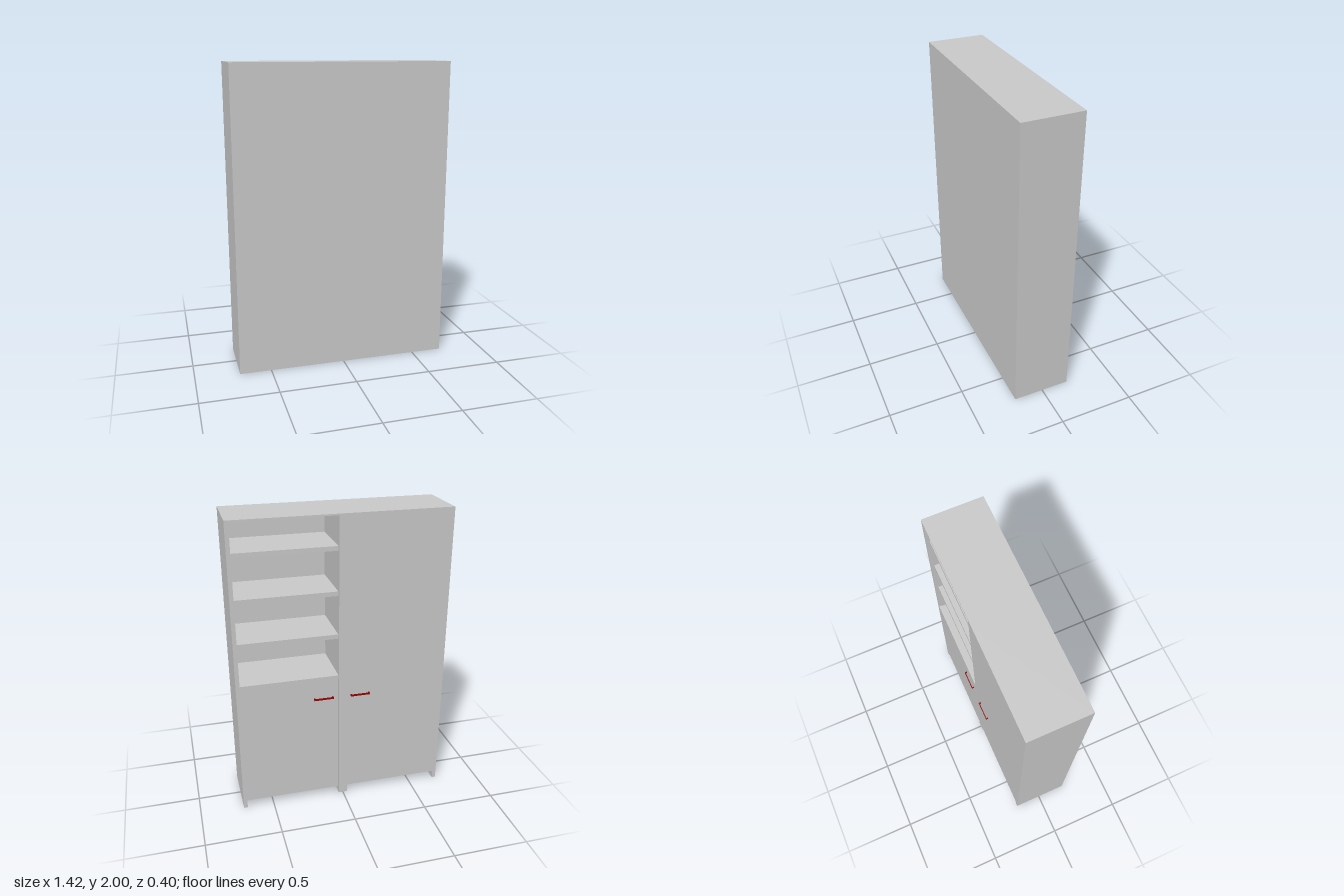
import * as THREE from 'three';

const grey = new THREE.MeshStandardMaterial({ color: 0xcccccc, flatShading: true });
const red = new THREE.MeshStandardMaterial({ color: 0x990000, flatShading: true });

// Box given by its extents on each axis
function slab(parent, name, [x0, x1], [y0, y1], [z0, z1], material = grey) {
  const mesh = new THREE.Mesh(new THREE.BoxGeometry(x1 - x0, y1 - y0, z1 - z0), material);
  mesh.position.set((x0 + x1) / 2, (y0 + y1) / 2, (z0 + z1) / 2);
  mesh.name = name;
  parent.add(mesh);
  return mesh;
}

export function createModel() {
  const group = new THREE.Group();
  group.name = 'cabinet';

  const W = 0.708, H = 2, side = 0.682, mid = 0.03;
  const face = -0.186, back = 0.2, backIn = 0.185;
  const full = [face, backIn];

  // Carcass: the doors open towards -z
  slab(group, 'backPanel', [-W, W], [0, H], [backIn, back]);
  slab(group, 'leftSide', [side, W], [0, H], full);
  slab(group, 'rightSide', [-W, -side], [0, H], full);
  slab(group, 'divider', [-mid, mid], [0, H], full);
  slab(group, 'leftTop', [mid, side], [H - 0.01, H], full);
  slab(group, 'rightTop', [-side, -mid], [H - 0.01, H], full);

  // Raised floors, set back behind the toe space
  slab(group, 'leftFloor', [mid, side], [0.03, 0.06], [-0.125, backIn]);
  slab(group, 'rightFloor', [-side, -mid], [0.03, 0.06], [-0.125, backIn]);

  // Open shelves; the lowest one closes the cupboard beneath
  for (let i = 0; i < 4; i++) {
    const y = 0.9 + i * 0.29;
    slab(group, 'shelf', [mid, side], [y, y + 0.03], [-0.166, backIn]);
  }

  // Doors flush with the frame
  slab(group, 'shortDoor', [mid + 0.006, side], [0.057, 0.937], [face, face + 0.02]);
  slab(group, 'tallDoor', [-side, -mid], [0.057, H - 0.01], [face, face + 0.02]);

  // Bar handles on two posts
  for (const x of [0.135, -0.115]) {
    const handle = new THREE.Group();
    handle.name = 'handle';
    handle.position.set(x, 0.781, 0);
    slab(handle, 'bar', [-0.065, 0.065], [-0.006, 0.006], [-0.201, -0.196], red);
    for (const s of [-1, 1]) {
      const px = s * 0.0615;
      slab(handle, 'post', [px - 0.0035, px + 0.0035], [-0.006, 0.006], [-0.196, face], red);
    }
    group.add(handle);
  }
  return group;
}
